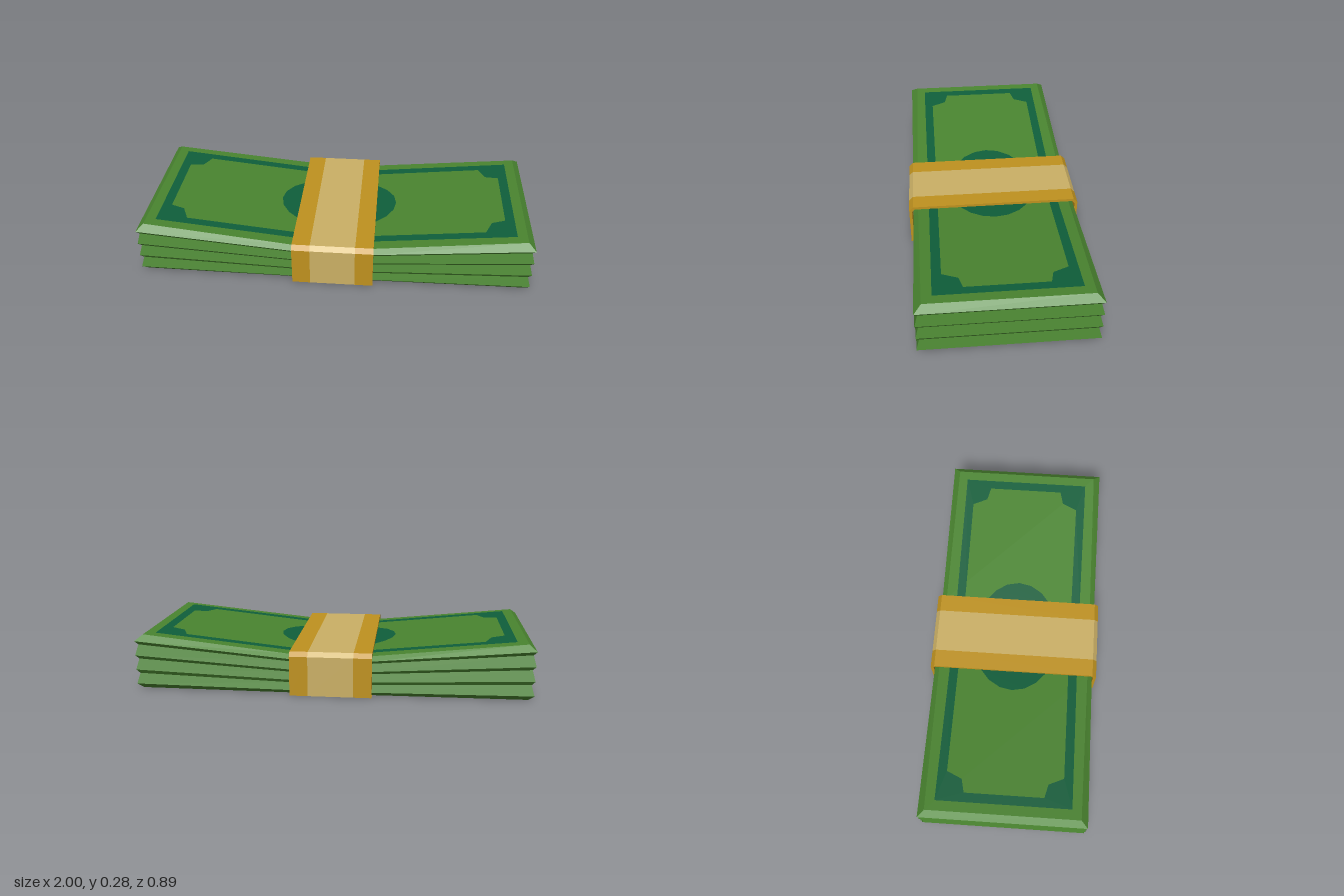
import * as THREE from 'three';

const mat = (name, color) => {
  const m = new THREE.MeshStandardMaterial({ color });
  m.name = name;
  return m;
};

const END_X = 1, SIDE_Z = 0.422, FOLD_X = 0.2, TOP_Y = 0.283, INSET_TOP = 0.035;
const PINCH = 0.72; // height under the band relative to the ends

// Zigzag edge of the four bundles: [height, inset]
const EDGE = [[0.003, 0.025], [0.03, 0], [0.083, 0.015], [0.105, 0], [0.16, 0.015],
  [0.18, 0], [0.235, 0.015], [0.255, 0], [TOP_Y, INSET_TOP]];

// Stack of notes: eight-point rings, pinched where the band sits
function stackGeometry() {
  const pos = [], index = [];
  for (const [y, inset] of EDGE) {
    const x = END_X - inset, z = SIDE_Z - inset, zm = SIDE_Z - inset * PINCH;
    const ym = y < 0.01 ? y : y * PINCH;
    pos.push(x, y, z, x, y, -z, FOLD_X, ym, -zm, -FOLD_X, ym, -zm,
      -x, y, -z, -x, y, z, -FOLD_X, ym, zm, FOLD_X, ym, zm);
  }
  const quad = (a, b, c, d) => index.push(a, b, c, a, c, d);
  for (let r = 0; r < EDGE.length - 1; r++) {
    for (let i = 0; i < 8; i++) {
      const a = r * 8 + i, b = r * 8 + (i + 1) % 8;
      quad(a, b, b + 8, a + 8);
    }
  }
  const t = (EDGE.length - 1) * 8;
  for (const [a, b, c, d] of [[0, 1, 2, 7], [7, 2, 3, 6], [6, 3, 4, 5]]) {
    quad(t + a, t + b, t + c, t + d);
    quad(d, c, b, a);
  }
  const indexed = new THREE.BufferGeometry();
  indexed.setAttribute('position', new THREE.Float32BufferAttribute(pos, 3));
  indexed.setIndex(index);
  const g = indexed.toNonIndexed();
  g.computeVertexNormals();
  return g;
}

// Flat print laid on the sloping top of one half
function printGeometry(points) {
  const g = new THREE.ShapeGeometry(new THREE.Shape(points));
  g.rotateX(-Math.PI / 2);
  const p = g.attributes.position;
  const low = TOP_Y * PINCH, run = END_X - INSET_TOP - FOLD_X;
  for (let i = 0; i < p.count; i++) {
    p.setY(i, low + (p.getX(i) - FOLD_X) / run * (TOP_Y - low) + 0.003);
  }
  g.computeVertexNormals();
  return g;
}

// Hollow paper band section between two x positions
function bandGeometry(x0, x1) {
  const v = (x, y) => new THREE.Vector2(x, y);
  const shape = new THREE.Shape([v(-0.443, 0), v(0.443, 0), v(0.443, 0.203),
    v(0.422, 0.225), v(-0.422, 0.225), v(-0.443, 0.203)]);
  shape.holes.push(new THREE.Path([v(-0.428, 0.002), v(-0.428, 0.196),
    v(-0.415, 0.211), v(0.415, 0.211), v(0.428, 0.196), v(0.428, 0.002)]));
  const g = new THREE.ExtrudeGeometry(shape, { depth: x1 - x0, bevelEnabled: false });
  return g.rotateY(Math.PI / 2).translate(x0, 0, 0);
}

export function createModel() {
  const green = mat('note green', 0x4a8530);
  const teal = mat('print teal', 0x0f5f3b);
  const gold = mat('band gold', 0xbf921f);
  const tan = mat('band tan', 0xcbb065);

  const model = new THREE.Group();
  model.name = 'banknoteStack';
  const add = (parent, name, geometry, material) => {
    const mesh = new THREE.Mesh(geometry, material);
    mesh.name = name;
    parent.add(mesh);
  };

  add(model, 'noteStack', stackGeometry(), green);

  // C-shaped border with corner ornaments, and the visible part of the medallion
  const v = (x, y) => new THREE.Vector2(x, y);
  const inner = [[FOLD_X, 0.294], [0.765, 0.294], [0.8, 0.217], [0.868, 0.2]];
  const border = [v(FOLD_X, -0.34), v(0.915, -0.34), v(0.915, 0.34), v(FOLD_X, 0.34),
    ...inner.map(([x, z]) => v(x, z)),
    ...inner.slice().reverse().map(([x, z]) => v(x, -z))];
  const medallion = [];
  const limit = Math.acos(FOLD_X / 0.31);
  for (let i = 0; i <= 6; i++) {
    const a = limit * (i / 3 - 1);
    medallion.push(v(0.31 * Math.cos(a), 0.23 * Math.sin(a)));
  }
  for (const side of ['left', 'right']) {
    const half = new THREE.Group();
    half.name = side + 'Print';
    add(half, 'border', printGeometry(border), teal);
    add(half, 'medallion', printGeometry(medallion), teal);
    if (side === 'right') half.rotation.y = Math.PI;
    model.add(half);
  }

  // Paper band: pale centre with darker margins
  const band = new THREE.Group();
  band.name = 'paperBand';
  add(band, 'bandCentre', bandGeometry(-0.114, 0.114), tan);
  add(band, 'bandLeftMargin', bandGeometry(0.114, 0.206), gold);
  add(band, 'bandRightMargin', bandGeometry(-0.206, -0.114), gold);
  model.add(band);

  return model;
}
